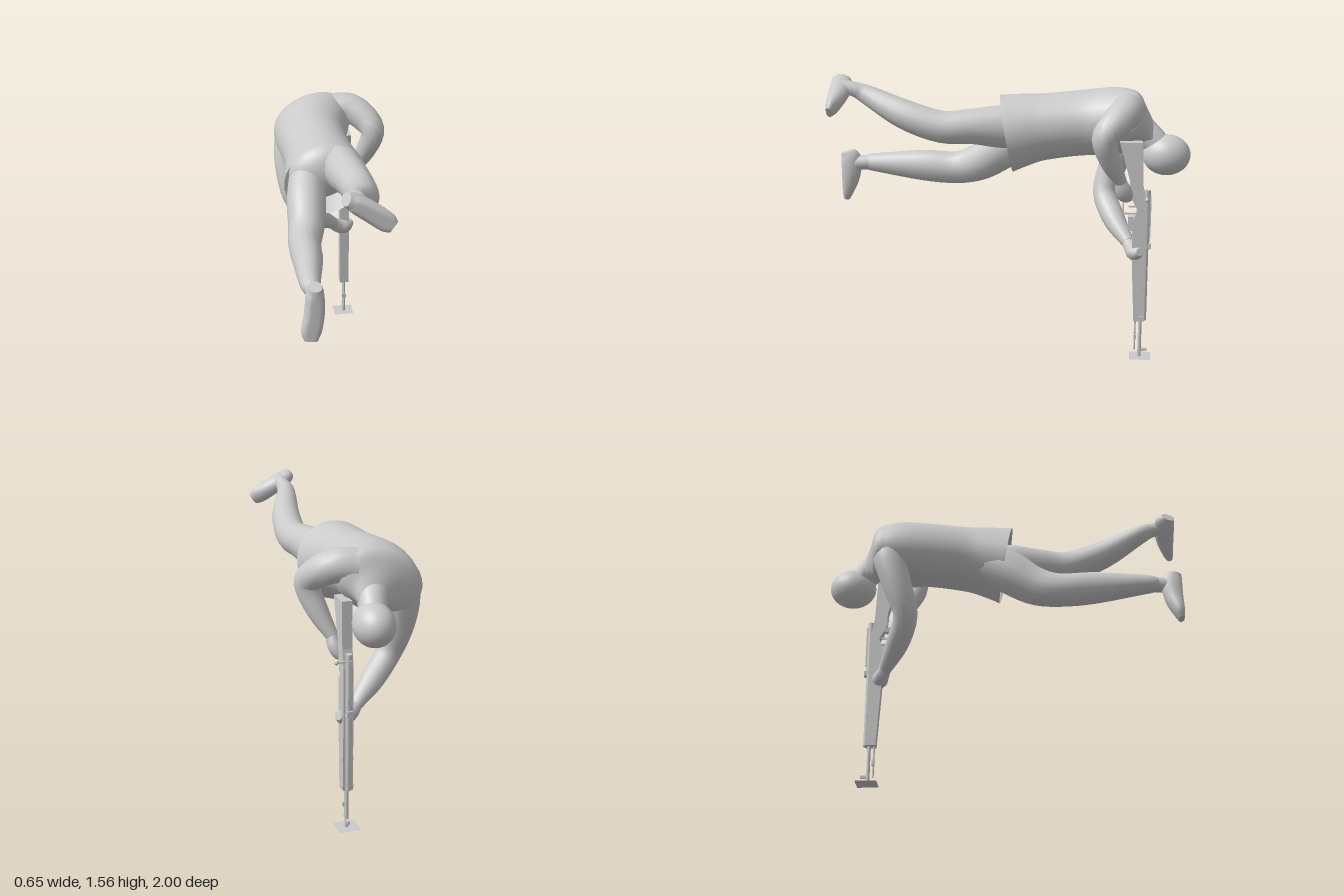
import * as THREE from 'three';

const grey = new THREE.MeshStandardMaterial({ color: 0xcacaca, side: THREE.DoubleSide });
grey.name = 'plain grey';

// Smooth skin through sections [x, y, z, radiusU, radiusV]; ref fixes the V direction,
// axis (if given) keeps every section square to one direction
function loft(sections, ref, { sides = 16, steps = 4, caps = true, axis = null, warp = null } = {}) {
  const path = new THREE.CatmullRomCurve3(sections.map(s => new THREE.Vector3(s[0], s[1], s[2])), false, 'catmullrom');
  const size = new THREE.CatmullRomCurve3(sections.map(s => new THREE.Vector3(s[3], s[4] ?? s[3], 0)), false, 'catmullrom');
  const n = (sections.length - 1) * steps;
  const pos = [], idx = [];
  const push = p => { if (warp) warp(p); pos.push(p.x, p.y, p.z); };
  const ringPoint = (i, j) => {
    const c = path.getPoint(i / n), r = size.getPoint(i / n), t = axis ?? path.getTangent(i / n);
    const u = ref.clone().cross(t).normalize(), v = t.clone().cross(u);
    const a = j / sides * Math.PI * 2;
    return c.addScaledVector(u, Math.cos(a) * r.x).addScaledVector(v, Math.sin(a) * r.y);
  };
  for (let i = 0; i <= n; i++) for (let j = 0; j < sides; j++) push(ringPoint(i, j));
  for (let i = 0; i < n; i++) for (let j = 0; j < sides; j++) {
    const k = (j + 1) % sides, a = i * sides + j, b = i * sides + k;
    idx.push(a, b, a + sides, b, b + sides, a + sides);
  }
  if (caps) for (const i of [0, n]) {
    const base = pos.length / 3;
    push(path.getPoint(i / n));
    for (let j = 0; j < sides; j++) push(ringPoint(i, j));
    for (let j = 0; j < sides; j++) {
      const a = base + 1 + j, b = base + 1 + (j + 1) % sides;
      if (i === 0) idx.push(base, b, a); else idx.push(base, a, b);
    }
  }
  const g = new THREE.BufferGeometry();
  g.setAttribute('position', new THREE.Float32BufferAttribute(pos, 3));
  g.setIndex(idx);
  g.computeVertexNormals();
  return g;
}

export function createModel() {
  const model = new THREE.Group();
  model.name = 'figureAimingRifle';
  const Y = new THREE.Vector3(0, 1, 0), Z = new THREE.Vector3(0, 0, 1);
  const back = new THREE.Vector3(-0.37, 0.93, 0).normalize();
  const add = (name, geometry, parent = model) => {
    const m = new THREE.Mesh(geometry, grey);
    m.name = name;
    parent.add(m);
    return m;
  };

  // Jacket, rolled so the right shoulder is higher, with a slanted open hem
  add('jacket', loft([
    [-0.085, 1.24, 0.022, 0.232, 0.215], [-0.09, 1.262, -0.09, 0.21, 0.2],
    [-0.095, 1.28, -0.2, 0.195, 0.187], [-0.11, 1.302, -0.4, 0.197, 0.183],
    [-0.1, 1.315, -0.55, 0.22, 0.188], [-0.085, 1.325, -0.65, 0.235, 0.175],
    [-0.075, 1.325, -0.715, 0.225, 0.15], [-0.035, 1.3, -0.755, 0.13, 0.11],
    [-0.005, 1.265, -0.79, 0.075, 0.08],
  ], back, {
    sides: 28, caps: false, axis: new THREE.Vector3(0, 0, -1),
    warp: p => {
      const fade = THREE.MathUtils.clamp((p.z + 0.2) / 0.22, 0, 1);
      p.z += fade * (0.17 * (p.y - 1.24) - 0.06 * (p.x + 0.08));
    },
  }));

  // Neck and head
  add('neck', loft([[-0.03, 1.3, -0.71, 0.085], [-0.005, 1.25, -0.775, 0.078], [0.012, 1.19, -0.84, 0.07]], Y));
  const head = add('head', new THREE.SphereGeometry(1, 28, 20));
  head.scale.set(0.108, 0.113, 0.132);
  head.position.set(0.02, 1.158, -0.868);

  // Seat of the trousers, under the jacket
  const seat = add('trouserSeat', new THREE.SphereGeometry(1, 24, 16));
  seat.scale.set(0.195, 0.155, 0.11);
  seat.position.set(-0.09, 1.265, -0.07);
  seat.rotation.z = Math.atan2(0.37, 0.93);

  // Legs
  add('leftLeg', loft([
    [-0.17, 1.24, -0.12, 0.1, 0.12], [-0.195, 1.14, 0.04, 0.108, 0.122],
    [-0.21, 1.045, 0.18, 0.1, 0.108], [-0.235, 1, 0.32, 0.088, 0.094],
    [-0.24, 1.008, 0.52, 0.08, 0.09], [-0.258, 1.015, 0.8, 0.053, 0.054],
    [-0.25, 1.015, 0.87, 0.041, 0.042], [-0.25, 1.01, 0.95, 0.043, 0.05],
  ], Y));
  add('rightLeg', loft([
    [0, 1.3, -0.12, 0.1, 0.12], [0.015, 1.3, 0.05, 0.108, 0.12],
    [0.04, 1.305, 0.2, 0.1, 0.1], [0.06, 1.303, 0.37, 0.09, 0.09],
    [0.035, 1.365, 0.58, 0.082, 0.082], [-0.03, 1.455, 0.79, 0.055, 0.056],
    [-0.03, 1.49, 0.87, 0.041, 0.042], [-0.035, 1.505, 0.95, 0.043, 0.045],
  ], Y));

  // Feet with flat soles
  const flatSole = p => { p.z = Math.min(p.z, 1); };
  const foot = (name, spine) => {
    const size = [[0.034, 0.04], [0.046, 0.066], [0.052, 0.058], [0.052, 0.036], [0.034, 0.02]];
    add(name, loft(spine.map((s, i) => [...s, ...size[i]]), Z, { warp: flatSole }));
  };
  foot('leftFoot', [[-0.25, 1.08, 0.965], [-0.25, 1.03, 0.95], [-0.255, 0.93, 0.957], [-0.272, 0.84, 0.975], [-0.275, 0.792, 0.985]]);
  foot('rightFoot', [[-0.1, 1.535, 0.965], [-0.06, 1.51, 0.95], [0.02, 1.46, 0.957], [0.095, 1.41, 0.975], [0.128, 1.387, 0.985]]);

  // Arms
  add('leftArm', loft([
    [-0.17, 1.33, -0.645, 0.095], [-0.225, 1.22, -0.635, 0.09], [-0.23, 1.04, -0.58, 0.08],
    [-0.195, 0.88, -0.535, 0.068], [-0.08, 0.755, -0.59, 0.064], [0.045, 0.655, -0.67, 0.036],
  ], Z));
  add('rightArm', loft([
    [0.04, 1.4, -0.655, 0.1], [0.14, 1.41, -0.635, 0.09], [0.225, 1.36, -0.575, 0.08],
    [0.258, 1.29, -0.525, 0.068], [0.21, 1.15, -0.565, 0.056], [0.155, 1.035, -0.62, 0.034],
  ], Z));

  // Hands
  add('leftHand', loft([
    [0.03, 0.665, -0.66, 0.032], [0.075, 0.63, -0.69, 0.045, 0.042],
    [0.12, 0.62, -0.71, 0.045, 0.048], [0.16, 0.635, -0.735, 0.022, 0.024],
  ], Z, { sides: 12 }));
  add('rightHand', loft([
    [0.158, 1.045, -0.615, 0.03], [0.15, 0.985, -0.635, 0.034, 0.045],
    [0.125, 0.94, -0.65, 0.03, 0.042], [0.08, 0.925, -0.67, 0.014, 0.024],
  ], Z, { sides: 12 }));

  // Rifle, muzzle pointing down
  const rifle = new THREE.Group();
  rifle.name = 'rifle';
  model.add(rifle);
  const box = (name, w, h, d, x, y, z) => add(name, new THREE.BoxGeometry(w, h, d).translate(x, y, z), rifle);
  const rod = (name, r, y0, y1, x, z) =>
    add(name, new THREE.CylinderGeometry(r, r, y1 - y0, 10).translate(x, (y0 + y1) / 2, z), rifle);

  // Side profile as (z, y) pairs
  const profile = [
    [-0.61, 1.25], [-0.735, 1.25], [-0.745, 1], [-0.765, 0.9], [-0.77, 0.22], [-0.71, 0.22],
    [-0.692, 0.58], [-0.69, 0.8], [-0.715, 0.87], [-0.67, 0.96], [-0.672, 1.03],
  ];
  const stock = new THREE.ExtrudeGeometry(
    new THREE.Shape(profile.map(p => new THREE.Vector2(...p))), { depth: 0.055, bevelEnabled: false });
  add('stock', stock.rotateY(-Math.PI / 2).translate(0.1425, 0, 0), rifle);
  rod('barrel', 0.01, 0, 0.9, 0.115, -0.748);
  rod('cleaningRod', 0.005, 0.04, 0.24, 0.115, -0.72);
  box('rodClip', 0.026, 0.025, 0.014, 0.115, 0.12, -0.722);
  box('frontSight', 0.012, 0.016, 0.045, 0.115, 0.04, -0.768);
  rod('handguard', 0.016, 0.22, 0.64, 0.115, -0.766);
  rod('receiver', 0.018, 0.64, 0.98, 0.115, -0.768);
  box('sightRail', 0.02, 0.24, 0.01, 0.115, 0.83, -0.786);
  box('rearSight', 0.03, 0.03, 0.03, 0.115, 0.66, -0.78);
  box('magazine', 0.04, 0.08, 0.03, 0.115, 0.79, -0.68);
  for (const y of [0.24, 0.4]) box('band', 0.06, 0.018, 0.05, 0.115, y, -0.742);

  // Trigger guard and trigger
  box('guardFront', 0.014, 0.008, 0.07, 0.115, 0.845, -0.67);
  box('guardBow', 0.014, 0.085, 0.008, 0.115, 0.885, -0.638);
  box('trigger', 0.008, 0.008, 0.05, 0.115, 0.885, -0.69);

  // Bolt handle with knob
  const handle = new THREE.CylinderGeometry(0.006, 0.006, 0.07, 8).rotateZ(Math.PI / 2);
  add('boltHandle', handle.translate(0.145, 0.94, -0.765), rifle);
  add('boltKnob', new THREE.SphereGeometry(0.012, 12, 8).translate(0.18, 0.94, -0.765), rifle);

  // Thin square plate at the muzzle
  add('muzzlePlate', new THREE.PlaneGeometry(0.12, 0.12).rotateX(-Math.PI / 2).translate(0.113, 0, -0.752), rifle);

  return model;
}
